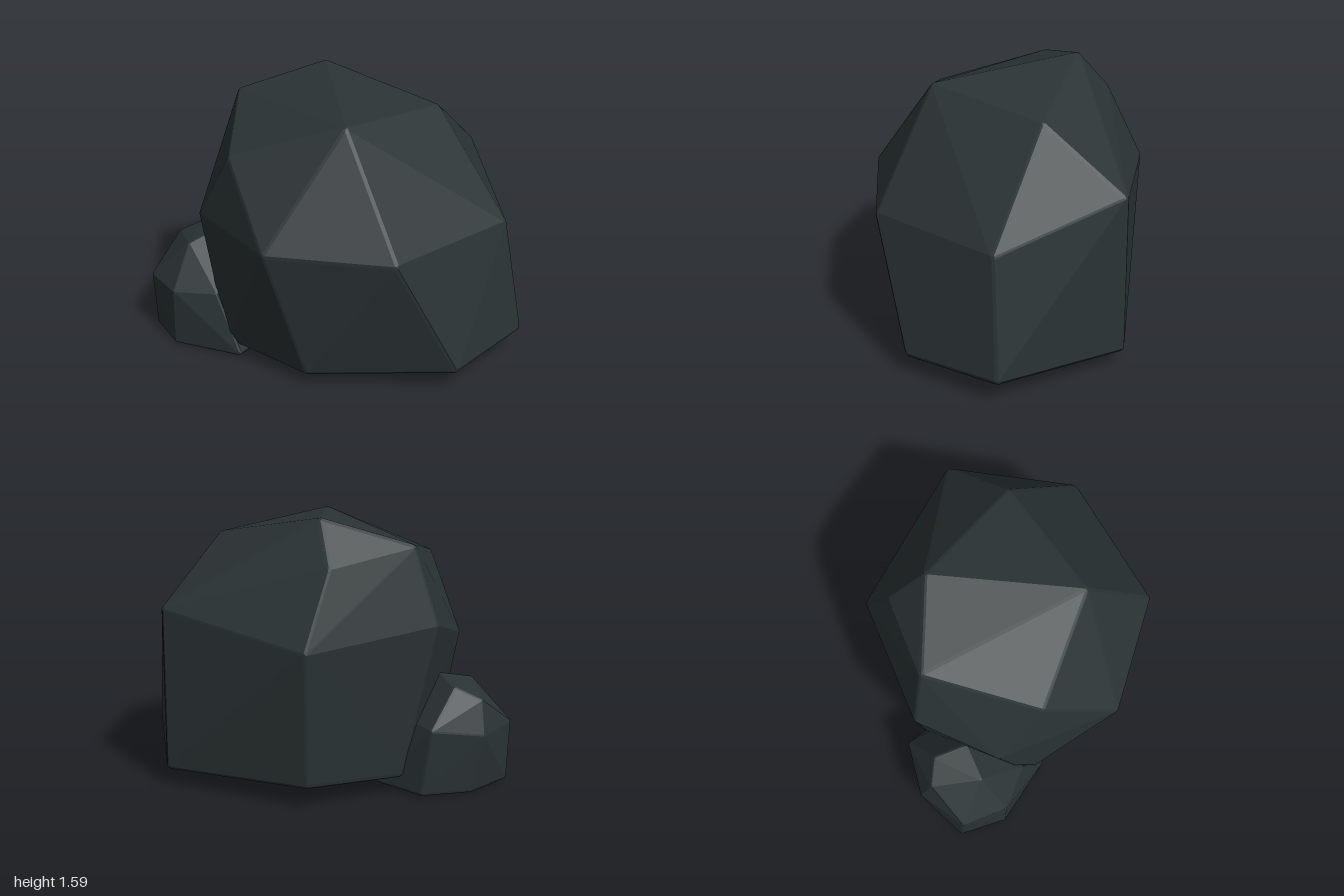
import * as THREE from 'three';
import { ConvexGeometry } from 'three/addons/geometries/ConvexGeometry.js';

// A faceted boulder: the hull of small balls set at each corner, giving worn, rounded edges
function boulder(name, corners, radius, material) {
  const points = corners.map((c) => new THREE.Vector3(...c));
  const centre = new THREE.Vector3();
  points.forEach((p) => centre.addScaledVector(p, 1 / points.length));

  const ball = new THREE.IcosahedronGeometry(radius, 1).attributes.position;
  const cloud = [];
  const seen = new Set();
  for (const p of points) {
    const inset = centre.clone().sub(p).setLength(radius * 1.1).add(p);
    for (let i = 0; i < ball.count; i++) {
      const v = new THREE.Vector3().fromBufferAttribute(ball, i).add(inset);
      const key = v.toArray().map((n) => n.toFixed(4)).join();
      if (!seen.has(key)) {
        seen.add(key);
        cloud.push(v);
      }
    }
  }
  const mesh = new THREE.Mesh(new ConvexGeometry(cloud), material);
  mesh.name = name;
  return mesh;
}

export function createModel() {
  const group = new THREE.Group();
  group.name = 'rocks';
  const stone = new THREE.MeshStandardMaterial({ color: 0x2b3335 });

  const large = [
    // crown
    [-0.32, 1.58, -0.28], [0.28, 1.49, 0.36], [-0.69, 1.43, 0.08],
    [-0.32, 1.27, 0.64], [0.41, 1.42, -0.39], [-0.5, 1.35, -0.39],
    // waist
    [-0.82, 1.0, 0.14], [-0.6, 0.83, 0.59], [0.08, 0.86, 0.86], [0.72, 0.83, 0.5],
    [0.92, 0.83, -0.33], [0.37, 1.05, -0.86], [-0.53, 0.92, -0.61],
    // base
    [-0.68, 0.1, 0.0], [-0.39, 0.07, 0.62], [0.21, 0.06, 0.65], [0.94, 0.11, 0.2],
    [1.01, 0.13, -0.39], [0.36, 0.1, -0.86], [-0.47, 0.12, -0.54],
  ];

  const small = [
    // crown
    [-0.83, 0.61, 0.28], [-0.65, 0.64, 0.36], [-0.95, 0.54, 0.38], [-0.72, 0.59, 0.56],
    // waist
    [-1.01, 0.35, 0.34], [-0.95, 0.35, 0.65], [-0.69, 0.35, 0.75],
    [-0.45, 0.36, 0.64], [-0.85, 0.4, 0.06], [-0.5, 0.4, 0.15],
    // base
    [-0.95, 0.0, 0.62], [-0.7, 0.0, 0.74], [-0.28, 0.01, 0.64],
    [-0.28, 0.02, 0.15], [-0.5, 0.02, 0.0], [-0.8, 0.01, 0.04], [-0.95, 0.0, 0.3],
  ];

  group.add(boulder('largeRock', large, 0.035, stone));
  group.add(boulder('smallRock', small, 0.02, stone));
  return group;
}
